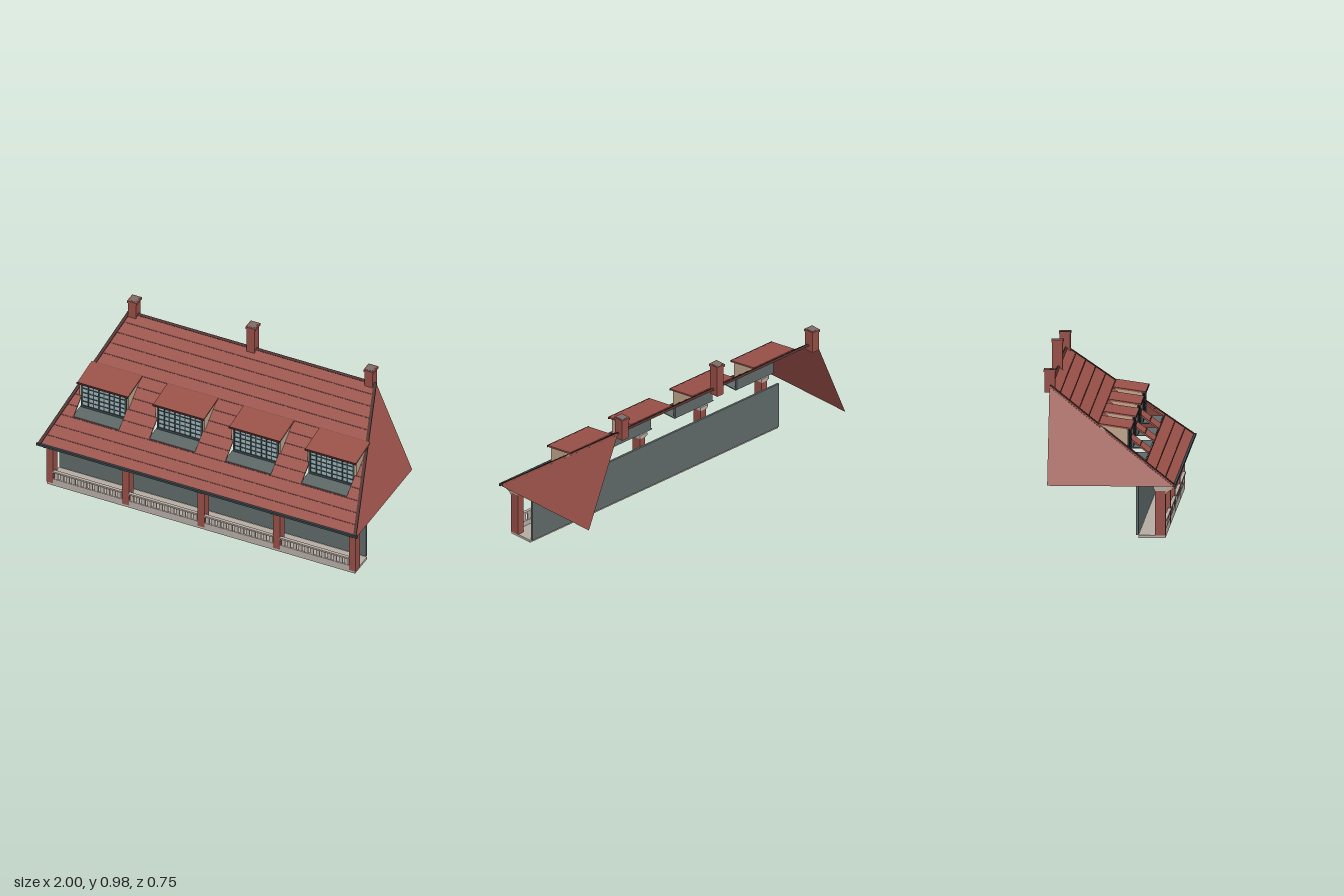
import * as THREE from 'three';

const mat = (name, color, side = THREE.FrontSide) => {
  const m = new THREE.MeshStandardMaterial({ color, side });
  m.name = name;
  return m;
};

export function createModel() {
  const M = {
    tile: mat('roof tile red', 0x9a5149, THREE.DoubleSide),
    course: mat('tile course brown', 0x66342f),
    brick: mat('brick red', 0x964e46),
    trim: mat('dark roof trim', 0x4c2a27),
    wall: mat('slate wall', 0x5f6968),
    stone: mat('pale stone', 0xb5aba3),
    timber: mat('tan timber', 0xbda48b),
    glass: mat('window glass', 0x9cb4b9),
    frame: mat('charcoal frame', 0x39454a),
    flue: mat('flue grey', 0x77716d),
  };
  const model = new THREE.Group();
  model.name = 'building';

  const group = (name, x = 0) => {
    const g = new THREE.Group();
    g.name = name;
    g.position.x = x;
    model.add(g);
    return g;
  };
  const add = (parent, name, geo, material) => {
    const m = new THREE.Mesh(geo, material);
    m.name = name;
    parent.add(m);
    return m;
  };
  // Box from its lower and upper limits
  const box = (parent, name, material, x0, x1, y0, y1, z0, z1) => {
    const m = add(parent, name, new THREE.BoxGeometry(x1 - x0, y1 - y0, z1 - z0), material);
    m.position.set((x0 + x1) / 2, (y0 + y1) / 2, (z0 + z1) / 2);
    return m;
  };
  // Side profile drawn in z and y, given a thickness along x
  const profile = (parent, name, material, shape, x, width) => {
    const geo = new THREE.ExtrudeGeometry(shape, { depth: width, bevelEnabled: false, curveSegments: 6 });
    geo.translate(0, 0, -width / 2).rotateY(-Math.PI / 2);
    add(parent, name, geo, material).position.x = x;
  };
  const points = (pts) => pts.map(([a, b]) => new THREE.Vector2(a, b));

  // Main dimensions
  const EAVE = { x: 0.985, y: 0.295, z: 0.365 }, RIDGE = { x: 0.765, y: 0.822, z: -0.345 };
  const rise = RIDGE.y - EAVE.y, run = EAVE.z - RIDGE.z;
  const slope = Math.hypot(rise, run), pitch = Math.atan2(rise, run);
  const dormerX = [-0.71, -0.237, 0.237, 0.71];
  const holeHalf = 0.142, holeLow = 0.206, holeHigh = 0.525;
  const halfAt = (v) => THREE.MathUtils.lerp(EAVE.x, RIDGE.x, v / slope);

  // Sloping front roof, built flat (x, distance up the slope) and tipped back
  const roof = group('roof');
  roof.position.set(0, EAVE.y, EAVE.z);
  roof.rotation.x = pitch - Math.PI / 2;
  const outline = new THREE.Shape(points([[-EAVE.x, 0], [EAVE.x, 0], [RIDGE.x, slope], [-RIDGE.x, slope]]));
  for (const x of dormerX) {
    const l = x - holeHalf, r = x + holeHalf;
    outline.holes.push(new THREE.Path(points([[l, holeLow], [l, holeHigh], [r, holeHigh], [r, holeLow]])));
  }
  add(roof, 'roofSlab', new THREE.ExtrudeGeometry(outline, { depth: 0.009, bevelEnabled: false }), M.tile);

  // Thin course lines, broken at the dormers
  const courses = 13;
  for (let i = 1; i < courses; i++) {
    const v = (i / courses) * slope, h = halfAt(v);
    const cuts = v > holeLow && v < holeHigh
      ? [-h, ...dormerX.flatMap((x) => [x - holeHalf, x + holeHalf]), h] : [-h, h];
    for (let k = 0; k < cuts.length; k += 2) {
      box(roof, 'tileCourse', M.course, cuts[k], cuts[k + 1], v - 0.003, v + 0.003, 0.008, 0.012);
    }
  }
  // Verge boards, ridge and gutter
  for (const s of [-1, 1]) {
    const board = box(roof, 'vergeBoard', M.trim, -0.009, 0.009, -slope / 2, slope / 2, -0.003, 0.003);
    board.position.set(s * (EAVE.x + RIDGE.x) / 2, slope / 2, 0.011);
    board.scale.y = Math.hypot(slope, EAVE.x - RIDGE.x) / slope;
    board.rotation.z = s * Math.atan2(EAVE.x - RIDGE.x, slope);
  }
  box(roof, 'ridgeCap', M.trim, -RIDGE.x, RIDGE.x, slope - 0.012, slope + 0.003, 0.001, 0.014);
  box(model, 'gutter', M.frame, -1, 1, 0.296, 0.309, 0.364, 0.377);

  // Leaning triangular end slopes
  for (const s of [-1, 1]) {
    const a = [s * 0.992, EAVE.y, EAVE.z], b = [s * 0.992, EAVE.y, RIDGE.z];
    const c = [s * (RIDGE.x + 0.004), RIDGE.y, RIDGE.z];
    const geo = new THREE.BufferGeometry();
    geo.setAttribute('position', new THREE.Float32BufferAttribute((s > 0 ? [a, b, c] : [b, a, c]).flat(), 3));
    geo.computeVertexNormals();
    add(model, 'endSlope', geo, M.tile);
  }

  // Dormers
  const cheek = new THREE.Shape(points([[0.1, 0.485], [0.1, 0.598], [-0.055, 0.622], [-0.055, 0.602]]));
  const lid = new THREE.Shape(points([[0.118, 0.597], [0.118, 0.606], [-0.063, 0.632], [-0.063, 0.622]]));
  for (const x of dormerX) {
    const d = group('dormer', x);
    box(d, 'dormerWall', M.wall, -0.142, 0.142, 0.426, 0.6, 0.09, 0.099);
    box(d, 'glass', M.glass, -0.132, 0.132, 0.44, 0.594, 0.099, 0.101);
    box(d, 'apron', M.wall, -0.15, 0.15, 0.422, 0.427, 0.09, 0.2);
    for (const s of [-1, 1]) {
      profile(d, 'cheek', M.timber, cheek, s * 0.147, 0.01);
      box(d, 'frameSide', M.frame, s * 0.136 - 0.006, s * 0.136 + 0.006, 0.432, 0.6, 0.098, 0.106);
    }
    for (const y of [0.439, 0.594]) box(d, 'frameRail', M.frame, -0.142, 0.142, y - 0.007, y + 0.007, 0.098, 0.106);
    for (let i = 1; i < 8; i++) {
      const px = -0.13 + i * 0.0325;
      box(d, 'uprightBar', M.frame, px - 0.0035, px + 0.0035, 0.44, 0.594, 0.1, 0.104);
    }
    for (let i = 1; i < 5; i++) {
      const py = 0.442 + i * 0.03;
      box(d, 'crossBar', M.frame, -0.13, 0.13, py - 0.003, py + 0.003, 0.1, 0.104);
    }
    // Shallow lid roof with a dark front edge
    profile(d, 'dormerRoof', M.tile, lid, 0, 0.316);
    box(d, 'dormerFascia', M.trim, -0.16, 0.16, 0.595, 0.607, 0.117, 0.122);
  }

  // Chimneys
  for (const [x, top] of [[-0.738, 0.92], [0, 0.98], [0.735, 0.92]]) {
    const c = group('chimney', x);
    box(c, 'chimneyStack', M.brick, -0.025, 0.025, 0.79, top - 0.012, -0.372, -0.313);
    box(c, 'chimneyCap', M.brick, -0.03, 0.03, top - 0.014, top, -0.377, -0.31);
    box(c, 'chimneyFlue', M.flue, -0.021, 0.021, top - 0.002, top + 0.001, -0.367, -0.32);
  }

  // Porch floor, kerb and back wall
  box(model, 'porchFloor', M.stone, -0.96, 0.96, 0, 0.015, 0.165, 0.316);
  box(model, 'kerb', M.stone, -0.95, 0.95, 0.01, 0.045, 0.305, 0.316);
  box(model, 'backWall', M.wall, -0.955, 0.955, 0.016, 0.29, 0.152, 0.165);

  // Posts with stepped capitals and paired curved brackets
  const postX = [-0.943, -0.471, 0, 0.471, 0.943];
  const bracket = new THREE.Shape();
  bracket.moveTo(0.312, 0.237);
  bracket.quadraticCurveTo(0.322, 0.262, 0.342, 0.268);
  bracket.quadraticCurveTo(0.358, 0.272, 0.362, 0.292);
  bracket.lineTo(0.312, 0.292);
  for (const x of postX) {
    const p = group('porchPost', x);
    box(p, 'post', M.brick, -0.021, 0.021, 0.015, 0.27, 0.259, 0.317);
    box(p, 'capitalLower', M.stone, -0.024, 0.024, 0.266, 0.276, 0.256, 0.319);
    box(p, 'capitalUpper', M.stone, -0.029, 0.029, 0.276, 0.292, 0.251, 0.323);
    for (const s of [-1, 1]) profile(p, 'bracket', M.timber, bracket, s * 0.015, 0.012);
  }

  // Railing between the posts
  for (let b = 0; b < 4; b++) {
    const x0 = postX[b] + 0.021, x1 = postX[b + 1] - 0.021, n = 12;
    const r = group('railing');
    box(r, 'handrail', M.stone, x0, x1, 0.091, 0.101, 0.304, 0.323);
    for (let i = 0; i < n; i++) {
      const x = x0 + ((i + 0.5) / n) * (x1 - x0);
      box(r, 'baluster', M.stone, x - 0.011, x + 0.011, 0.044, 0.092, 0.306, 0.314);
    }
  }
  return model;
}
